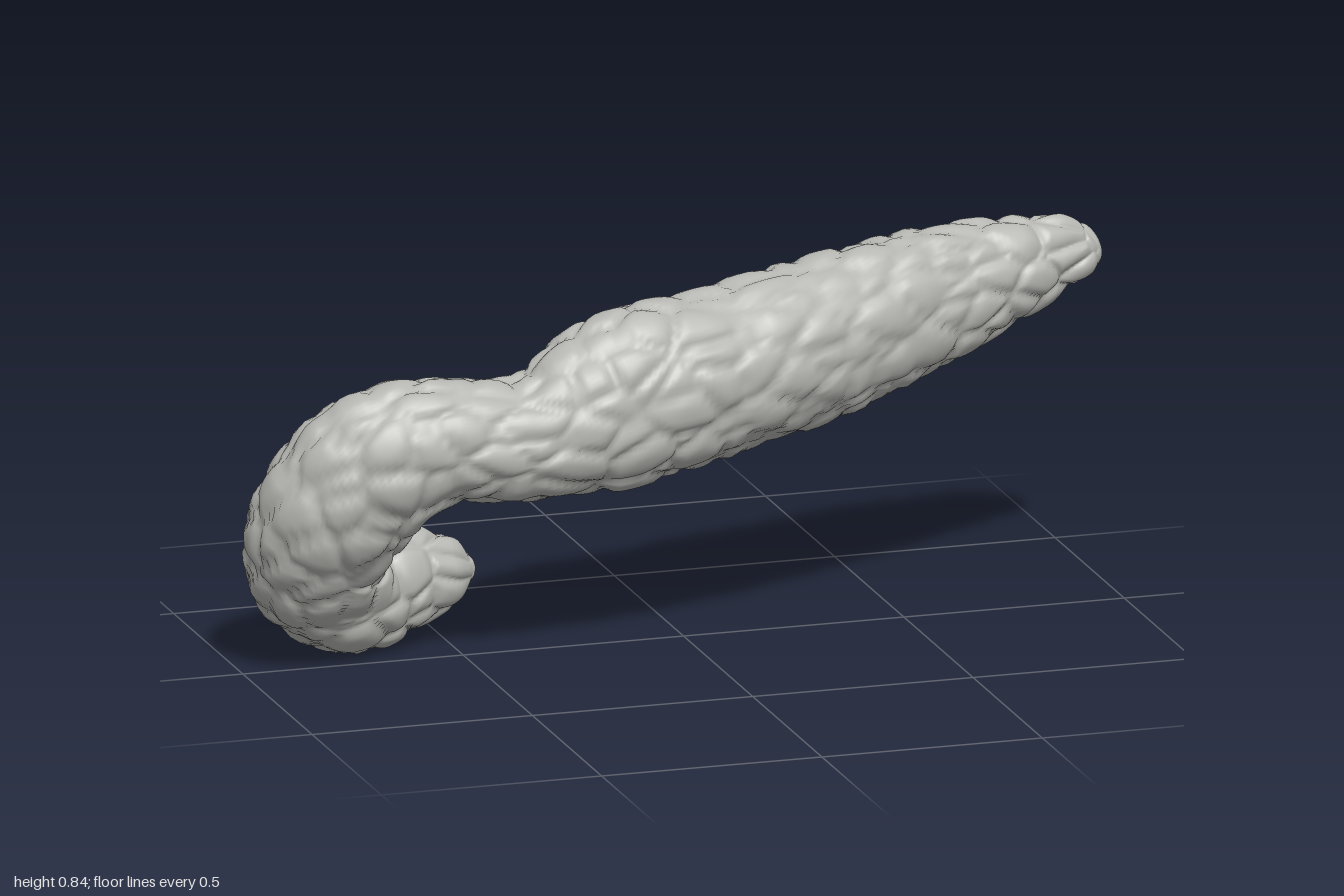
import * as THREE from 'three';

// Stations along the body: centre x, y, z, then half-height and half-depth of the section
const STATIONS = [
  [1.0, 0.738, -0.185, 0.05, 0.047],
  [0.9, 0.745, -0.187, 0.087, 0.067],
  [0.8, 0.73, -0.168, 0.112, 0.088],
  [0.6, 0.695, -0.125, 0.152, 0.112],
  [0.3, 0.642, -0.038, 0.18, 0.139],
  [0.0, 0.601, 0.04, 0.187, 0.15],
  [-0.13, 0.587, 0.065, 0.195, 0.148],
  [-0.25, 0.558, 0.086, 0.18, 0.14],
  [-0.4, 0.522, 0.11, 0.134, 0.126],
  [-0.6, 0.533, 0.118, 0.141, 0.127],
  [-0.74, 0.487, 0.103, 0.168, 0.135],
  [-0.825, 0.365, 0.055, 0.172, 0.141],
  [-0.822, 0.24, -0.03, 0.162, 0.137],
  [-0.735, 0.157, -0.095, 0.145, 0.122],
  [-0.62, 0.158, -0.13, 0.125, 0.1],
  [-0.5, 0.16, -0.15, 0.083, 0.068],
  [-0.432, 0.16, -0.152, 0.045, 0.042],
];
const RINGS = 300;
const SIDES = 100;

// Repeatable pseudo-random value for a lattice cell
function hash(x, y, z, k) {
  const s = Math.sin(x * 127.1 + y * 311.7 + z * 74.7 + k * 53.3) * 43758.5453;
  return s - Math.floor(s);
}

// Cellular noise: domed lumps parted by soft creases, roughly -1 to 1
function lumps(x, y, z) {
  let f1 = 9, f2 = 9;
  const cx = Math.floor(x), cy = Math.floor(y), cz = Math.floor(z);
  for (let i = cx - 1; i <= cx + 1; i++)
    for (let j = cy - 1; j <= cy + 1; j++)
      for (let k = cz - 1; k <= cz + 1; k++) {
        const d = Math.hypot(
          i + hash(i, j, k, 0) - x,
          j + hash(i, j, k, 1) - y,
          k + hash(i, j, k, 2) - z);
        if (d < f1) { f2 = f1; f1 = d; } else if (d < f2) f2 = d;
      }
  const crease = Math.min(1, (f2 - f1) * 2.2);
  return crease * (2 - crease) * 1.1 - 0.5 - f1 * f1 * 0.5;
}

function bodyGeometry() {
  const path = new THREE.CatmullRomCurve3(STATIONS.map(s => new THREE.Vector3(s[0], s[1], s[2])));
  const sizes = new THREE.SplineCurve(STATIONS.map(s => new THREE.Vector2(s[3], s[4])));

  // Rings gather towards both tips so that the ends stay round
  const ts = Array.from({ length: RINGS + 1 }, (_, i) => 0.5 - 0.5 * Math.cos(Math.PI * i / RINGS));
  const centres = ts.map(t => path.getPoint(t));
  const along = [0];
  for (let i = 1; i <= RINGS; i++) along.push(along[i - 1] + centres[i].distanceTo(centres[i - 1]));
  const total = along[RINGS];

  const positions = [], index = [];
  const zAxis = new THREE.Vector3(0, 0, 1);
  const lastTip = 1 + (RINGS - 1) * SIDES;
  positions.push(...centres[0].toArray());
  for (let i = 1; i < RINGS; i++) {
    const tangent = path.getTangent(ts[i]);
    const a = new THREE.Vector3().crossVectors(zAxis, tangent).normalize();
    const b = new THREE.Vector3().crossVectors(tangent, a);
    const size = sizes.getPoint(ts[i]);
    const end = Math.min(1, Math.min(along[i], total - along[i]) / 0.055);
    const round = Math.sqrt(1 - (1 - end) ** 2);
    for (let j = 0; j < SIDES; j++) {
      const angle = j / SIDES * Math.PI * 2;
      const p = centres[i].clone()
        .addScaledVector(a, Math.cos(angle) * size.x * round)
        .addScaledVector(b, Math.sin(angle) * size.y * round);
      const bump = 0.012 * round * lumps(p.x / 0.115, p.y / 0.085, p.z / 0.085);
      p.addScaledVector(a, Math.cos(angle) * bump).addScaledVector(b, Math.sin(angle) * bump);
      positions.push(p.x, p.y, p.z);

      // Fans close the tips, quads join the rings between them
      const n = (j + 1) % SIDES, r = 1 + (i - 1) * SIDES, q = r + SIDES;
      if (i === 1) index.push(0, r + n, r + j);
      if (i < RINGS - 1) index.push(r + j, r + n, q + j, r + n, q + n, q + j);
      else index.push(r + j, r + n, lastTip);
    }
  }
  positions.push(...centres[RINGS].toArray());

  const geometry = new THREE.BufferGeometry();
  geometry.setAttribute('position', new THREE.Float32BufferAttribute(positions, 3));
  geometry.setIndex(index);

  // Centred and resting on the ground
  geometry.computeBoundingBox();
  const box = geometry.boundingBox, mid = box.getCenter(new THREE.Vector3());
  geometry.translate(-mid.x, -box.min.y, -mid.z);
  geometry.computeVertexNormals();
  return geometry;
}

export function createModel() {
  const group = new THREE.Group();
  group.name = 'hookedLumpyRoll';
  const grey = new THREE.MeshStandardMaterial({ color: 0xb6b6b2 });
  grey.name = 'stone grey';
  const body = new THREE.Mesh(bodyGeometry(), grey);
  body.name = 'body';
  group.add(body);
  return group;
}
